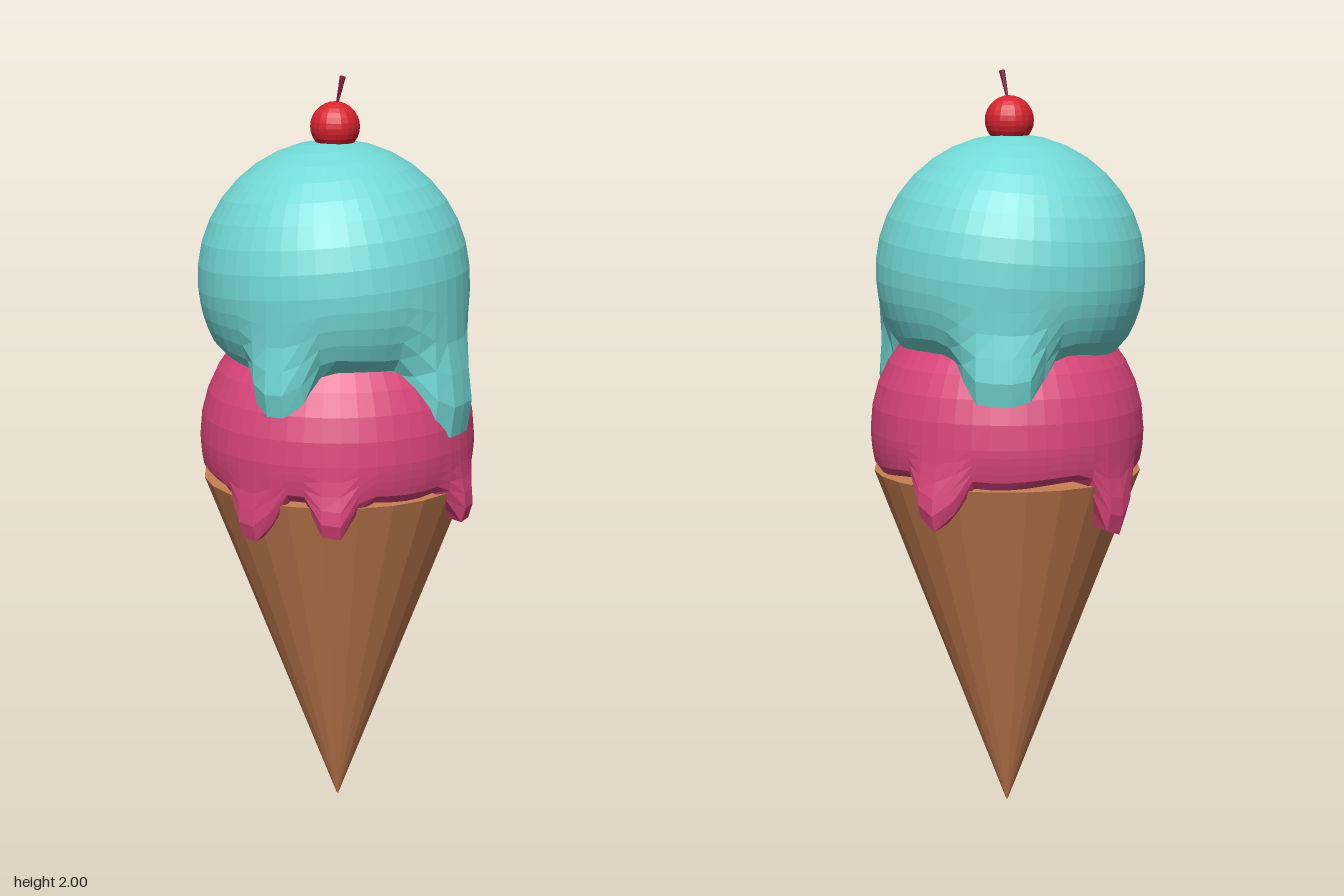
import * as THREE from 'three';

const rad = THREE.MathUtils.degToRad;
const { clamp, lerp, smoothstep } = THREE.MathUtils;

function part(name, geometry, color) {
  const material = new THREE.MeshStandardMaterial({ color, flatShading: true });
  const mesh = new THREE.Mesh(geometry, material);
  mesh.name = name;
  return mesh;
}

// Scoop: a tilted dome whose lower rim melts into drips.
// Each drip is [azimuth from the front towards +x, half width, tip height, tip radius].
function scoopGeometry({ r, cy, hem, tilt, drips, cols = 48, upper = 9, lower = 5 }) {
  const rows = upper + lower + 2;
  const pos = [], index = [];
  const ct = Math.cos(tilt), st = Math.sin(tilt);

  for (let j = 0; j <= cols; j++) {
    const deg = (j / cols) * 360;
    const a = rad(deg), sx = Math.sin(a), cz = Math.cos(a);

    // rim height and outward bulge at this azimuth
    let rim = hem + 0.008 * Math.sin(a * 5), bulge = 0, tipR = r;
    for (const [at, half, tip, radius] of drips) {
      const d = Math.abs(((deg - at + 540) % 360) - 180);
      const w = 1 - smoothstep(d, half * 0.25, half);
      if (w > bulge) {
        rim = lerp(hem, tip, w);
        bulge = w;
        tipR = radius;
      }
    }

    // upper dome
    for (let i = 0; i <= upper; i++) {
      const t = (i / upper) * Math.PI / 2;
      const x = r * Math.sin(t) * sx, y = r * Math.cos(t);
      pos.push(x * ct - y * st, cy + x * st + y * ct, r * Math.sin(t) * cz);
    }
    // lower skirt and drips
    const startY = cy + r * sx * st;
    let rr = r, y = startY;
    for (let i = 1; i <= lower; i++) {
      const s = i / lower;
      y = lerp(startY, rim, s);
      const dy = clamp(y, hem, cy + r) - cy;
      const sphere = Math.sqrt(r * r - dy * dy);
      rr = lerp(sphere, tipR, bulge * smoothstep(s, 0, 0.75));
      if (i === lower) rr -= 0.012;
      pos.push(rr * sx, y, rr * cz);
    }
    // rim turned inwards
    pos.push(rr * 0.8 * sx, y + 0.012, rr * 0.8 * cz);
  }

  for (let j = 0; j < cols; j++) {
    for (let i = 0; i < rows - 1; i++) {
      const a = j * rows + i, b = a + rows;
      if (i > 0) index.push(a, a + 1, b);
      index.push(b, a + 1, b + 1);
    }
  }
  const g = new THREE.BufferGeometry();
  g.setAttribute('position', new THREE.Float32BufferAttribute(pos, 3));
  g.setIndex(index);
  g.computeVertexNormals();
  return g;
}

export function createModel() {
  const group = new THREE.Group();
  group.name = 'iceCream';

  // wafer cone
  const cone = part('cone', new THREE.CylinderGeometry(0.36, 0.002, 0.94, 24), 0xc97f52);
  cone.position.y = 0.47;
  group.add(cone);

  // lower scoop, dripping over the cone rim
  const lower = part('lowerScoop', scoopGeometry({
    r: 0.368, cy: 1.05, hem: 0.95, tilt: 0,
    drips: [
      [-17, 16, 0.83, 0.37], [20, 13, 0.86, 0.385], [86, 15, 0.85, 0.385],
      [172, 14, 0.83, 0.395], [254, 16, 0.80, 0.38],
    ],
  }), 0xd9457a);
  group.add(lower);

  // upper scoop, dripping over the lower one
  const upper = part('upperScoop', scoopGeometry({
    r: 0.36, cy: 1.475, hem: 1.27, tilt: rad(5),
    drips: [[-4, 22, 1.17, 0.365], [82, 32, 1.09, 0.388], [198, 30, 1.16, 0.368]],
  }), 0x72d9d6);
  upper.position.x = -0.01;
  group.add(upper);

  // cherry with its stem
  const cherry = part('cherry', new THREE.SphereGeometry(0.065, 20, 14), 0xd8232f);
  cherry.position.set(-0.006, 1.87, 0);
  group.add(cherry);

  const stem = part('cherryStem', new THREE.CylinderGeometry(0.008, 0.003, 0.078, 6), 0x8a2540);
  stem.position.set(0.007, 1.962, 0);
  stem.rotation.z = -0.22;
  group.add(stem);

  return group;
}
